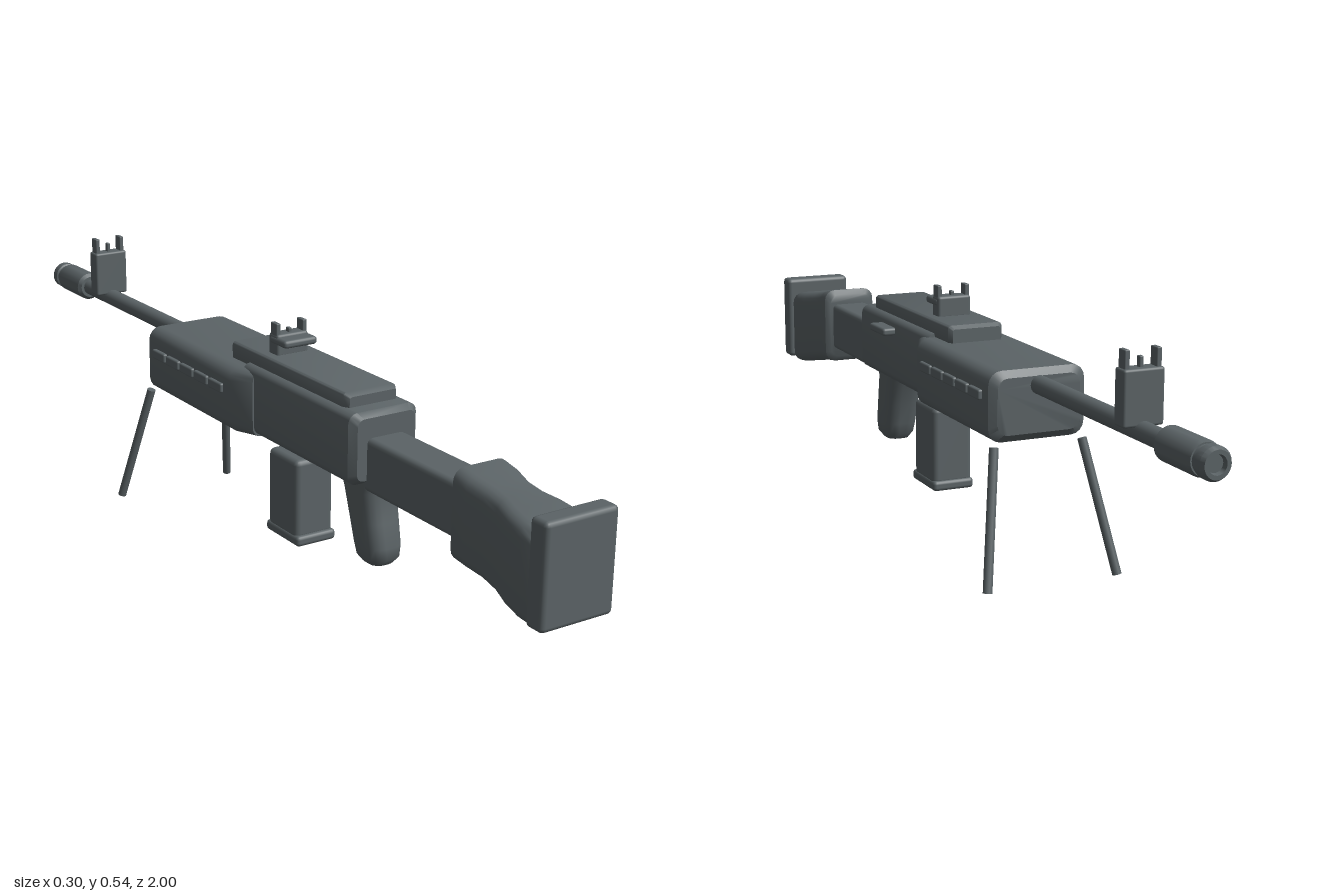
import * as THREE from 'three';
import { RoundedBoxGeometry } from 'three/addons/geometries/RoundedBoxGeometry.js';
import { toCreasedNormals } from 'three/addons/utils/BufferGeometryUtils.js';

const gunmetal = new THREE.MeshStandardMaterial({ color: 0x5b6366 });
gunmetal.name = 'gunmetal';

// Skin over rounded-rectangle sections [z, halfWidth, yMin, yMax, cornerRadius], z ascending
function loft(sections, crease = 0.6) {
  const steps = 4, n = 4 * (steps + 1), pos = [], idx = [];
  for (const [z, w, y0, y1, r] of sections) {
    for (let q = 0; q < 4; q++) {
      const cx = (q === 0 || q === 3 ? 1 : -1) * (w - r);
      const cy = q < 2 ? y1 - r : y0 + r;
      for (let s = 0; s <= steps; s++) {
        const a = (q + s / steps) * Math.PI / 2;
        pos.push(cx + r * Math.cos(a), cy + r * Math.sin(a), z);
      }
    }
  }
  const last = sections.length - 1;
  for (let i = 0; i < last; i++) {
    for (let j = 0; j < n; j++) {
      const a = i * n + j, b = i * n + (j + 1) % n;
      idx.push(a, b, b + n, a, b + n, a + n);
    }
  }
  for (let j = 1; j < n - 1; j++) {
    idx.push(0, j + 1, j, last * n, last * n + j, last * n + j + 1);
  }
  const g = new THREE.BufferGeometry();
  g.setAttribute('position', new THREE.Float32BufferAttribute(pos, 3));
  g.setIndex(idx);
  return toCreasedNormals(g, crease);
}

export function createModel() {
  const model = new THREE.Group();
  model.name = 'rifle';

  const add = (name, geometry, parent = model) => {
    const mesh = new THREE.Mesh(geometry, gunmetal);
    mesh.name = name;
    parent.add(mesh);
    return mesh;
  };
  // Rounded box given by its extents
  const box = (name, [x0, x1], [y0, y1], [z0, z1], r, parent) => {
    const m = add(name, new RoundedBoxGeometry(x1 - x0, y1 - y0, z1 - z0, 2, r), parent);
    m.position.set((x0 + x1) / 2, (y0 + y1) / 2, (z0 + z1) / 2);
    return m;
  };

  // Stock
  box('buttPlate', [-0.081, 0.081], [0.207, 0.411], [0.955, 1], 0.01);
  add('stock', loft([
    [0.715, 0.052, 0.25, 0.405, 0.02],
    [0.725, 0.063, 0.237, 0.416, 0.025],
    [0.76, 0.062, 0.232, 0.41, 0.025],
    [0.8, 0.055, 0.224, 0.401, 0.025],
    [0.84, 0.057, 0.216, 0.394, 0.025],
    [0.88, 0.068, 0.208, 0.388, 0.025],
    [0.92, 0.072, 0.2, 0.382, 0.025],
    [0.95, 0.07, 0.196, 0.376, 0.025],
    [0.965, 0.06, 0.205, 0.37, 0.02],
  ], 0.8));
  box('stockTube', [-0.045, 0.045], [0.27, 0.381], [0.42, 0.73], 0.012);

  // Receiver and top cover
  add('receiver', loft([
    [0.03, 0.08, 0.285, 0.432, 0.02],
    [0.42, 0.08, 0.285, 0.432, 0.02],
    [0.435, 0.068, 0.295, 0.422, 0.015],
  ]));
  add('topCover', loft([
    [-0.05, 0.055, 0.42, 0.453, 0.006],
    [-0.04, 0.062, 0.42, 0.46, 0.008],
    [0.375, 0.062, 0.42, 0.46, 0.008],
    [0.388, 0.055, 0.42, 0.453, 0.006],
  ]));
  box('chargingHandle', [0.07, 0.109], [0.396, 0.413], [0.212, 0.298], 0.006);

  // Handguard, tapering into the receiver
  add('handguard', loft([
    [-0.347, 0.09, 0.295, 0.41, 0.022],
    [-0.335, 0.105, 0.28, 0.424, 0.028],
    [0.02, 0.107, 0.28, 0.424, 0.028],
    [0.075, 0.083, 0.282, 0.422, 0.02],
  ]));
  for (const side of [-1, 1]) {
    for (let i = 0; i < 5; i++) {
      const z = -0.032 - i * 0.062;
      const x = side * 0.106;
      box('handguardRib', [x - 0.008, x + 0.008], [0.362, 0.383], [z - 0.027, z + 0.027], 0.004);
    }
  }

  // Barrel and muzzle brake, turned about the z axis
  const barrel = add('barrel', new THREE.CylinderGeometry(0.019, 0.019, 0.56, 24));
  barrel.rotation.x = Math.PI / 2;
  barrel.position.set(0, 0.392, -0.6);
  const profile = [[0, 0], [0.026, 0], [0.033, 0.008], [0.033, 0.115], [0.03, 0.122], [0.027, 0.122],
    [0.027, 0.132], [0.031, 0.134], [0.031, 0.152], [0.026, 0.16], [0.018, 0.16], [0.016, 0.15], [0, 0.15]];
  const brake = add('muzzleBrake', toCreasedNormals(
    new THREE.LatheGeometry(profile.map(p => new THREE.Vector2(...p)), 24), 0.6));
  brake.rotation.x = -Math.PI / 2;
  brake.position.set(0, 0.392, -0.84);

  // Sights: two guard prongs around a centre post
  const prongs = (parent, base, top, z) => {
    for (const s of [-1, 1]) {
      const x = s * 0.032;
      box('sightProng', [x - 0.005, x + 0.005], [base, top], [z - 0.012, z + 0.012], 0.002, parent);
    }
    box('sightPost', [-0.004, 0.004], [base, top - 0.014], [z - 0.006, z + 0.006], 0.002, parent);
  };
  const frontSight = new THREE.Group();
  frontSight.name = 'frontSight';
  box('frontSightBlock', [-0.041, 0.041], [0.4, 0.505], [-0.757, -0.721], 0.005, frontSight);
  prongs(frontSight, 0.495, 0.539, -0.739);
  const rearSight = new THREE.Group();
  rearSight.name = 'rearSight';
  box('rearSightBase', [-0.038, 0.038], [0.455, 0.503], [0.065, 0.1], 0.006, rearSight);
  box('rearSightBar', [-0.04, 0.04], [0.481, 0.498], [0.07, 0.132], 0.007, rearSight);
  prongs(rearSight, 0.495, 0.526, 0.083);
  model.add(frontSight, rearSight);

  // Magazine
  box('magazine', [-0.046, 0.046], [0.08, 0.255], [0.076, 0.187], 0.012);
  box('magazineFloor', [-0.048, 0.048], [0.067, 0.09], [0.07, 0.196], 0.008);

  // Pistol grip: horizontal sections [-height, halfWidth, zMin, zMax, radius] turned upright
  const grip = add('grip', loft([
    [-0.295, 0.042, 0.315, 0.44, 0.03],
    [-0.26, 0.042, 0.333, 0.435, 0.03],
    [-0.2, 0.041, 0.352, 0.447, 0.03],
    [-0.15, 0.04, 0.367, 0.457, 0.03],
    [-0.125, 0.037, 0.373, 0.457, 0.03],
    [-0.111, 0.026, 0.384, 0.444, 0.02],
  ], 0.9));
  grip.rotation.x = Math.PI / 2;

  // Bipod legs
  for (const s of [-1, 1]) {
    const top = new THREE.Vector3(s * 0.097, 0.274, -0.345);
    const foot = new THREE.Vector3(s * 0.143, 0.003, -0.417);
    const dir = top.clone().sub(foot);
    const leg = add('bipodLeg', new THREE.CylinderGeometry(0.0095, 0.0095, dir.length(), 16));
    leg.position.copy(top).add(foot).multiplyScalar(0.5);
    leg.quaternion.setFromUnitVectors(new THREE.Vector3(0, 1, 0), dir.normalize());
  }
  return model;
}
